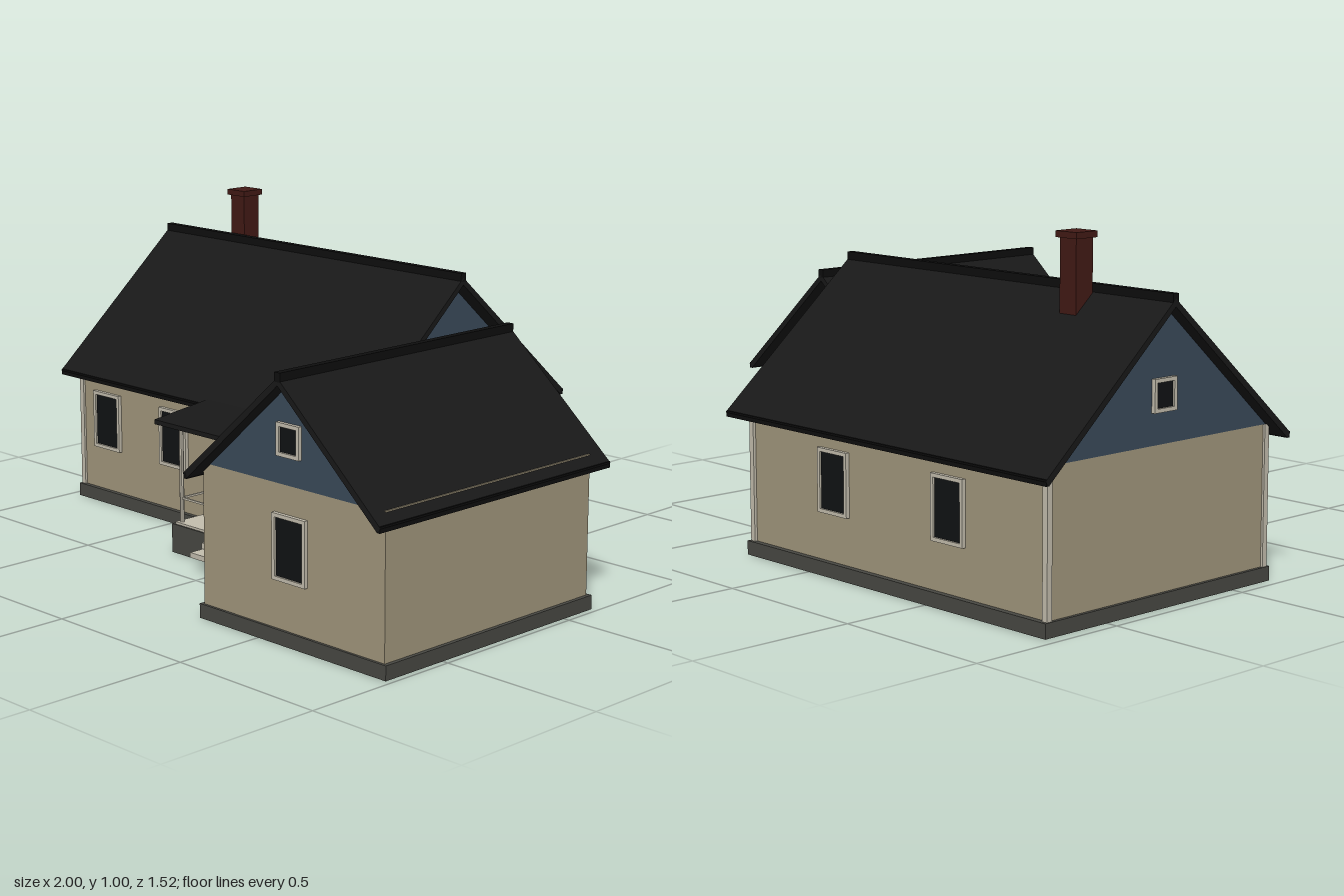
import * as THREE from 'three';

const mat = (color) => new THREE.MeshStandardMaterial({ color, flatShading: true });

export function createModel() {
  const house = new THREE.Group();
  const M = {
    wall: mat(0xa2977d), siding: mat(0x3a4a5a), roof: mat(0x181818), ridge: mat(0x0e0e0e),
    base: mat(0x484843), trim: mat(0xc4beae), glass: mat(0x101214), door: mat(0x2e1a14),
    brick: mat(0x421a15),
  };

  const add = (name, geometry, material, parent = house) => {
    const mesh = new THREE.Mesh(geometry, material);
    mesh.name = name;
    parent.add(mesh);
    return mesh;
  };

  // Box given by its lower and upper limits on each axis
  const box = (name, m, [x0, x1], [y0, y1], [z0, z1], parent) => {
    const mesh = add(name, new THREE.BoxGeometry(x1 - x0, y1 - y0, z1 - z0), m, parent);
    mesh.position.set((x0 + x1) / 2, (y0 + y1) / 2, (z0 + z1) / 2);
    return mesh;
  };

  // Outline in x,y pushed along z, starting at z = start
  const prism = (name, m, points, start, depth, parent) => {
    const shape = new THREE.Shape(points.map(([x, y]) => new THREE.Vector2(x, y)));
    const g = new THREE.ExtrudeGeometry(shape, { depth, bevelEnabled: false });
    return add(name, g.translate(0, 0, start), m, parent);
  };

  // Pitched roof along local z, centred on x = 0
  const gableRoof = (name, half, eave, ridge, start, length) => {
    const group = new THREE.Group();
    group.name = name;
    house.add(group);
    prism(name + 'Slopes', M.roof, [
      [-half, eave], [-half + 0.012, eave - 0.014], [0, ridge - 0.022],
      [half - 0.012, eave - 0.014], [half, eave], [0, ridge],
    ], start, length, group);
    box(name + 'RidgeCap', M.ridge, [-0.011, 0.011], [ridge - 0.012, ridge + 0.014],
      [start, start + length], group);
    for (const s of [-1, 1]) {
      box(name + 'EaveBoard', M.ridge, [s * (half - 0.008) - 0.006, s * (half - 0.008) + 0.006],
        [eave - 0.014, eave + 0.004], [start, start + length], group);
    }
    return group;
  };

  // Triangular gable panel in the local x,y plane
  const gable = (parent, half, ridge, z) =>
    prism('gableSiding', M.siding, [[-half, 0.45], [half, 0.45], [0, ridge - 0.02]], z, 0.01, parent);

  // Framed window facing +z of its group
  const windowUnit = (name, w, h, x, y, z, turn = 0) => {
    const g = new THREE.Group();
    g.name = name;
    const t = 0.011;
    box('glass', M.glass, [-w / 2, w / 2], [-h / 2, h / 2], [-0.01, 0.006], g);
    for (const s of [-1, 1]) {
      const fx = s * (w + t) / 2, fy = s * (h + t) / 2;
      box('sideFrame', M.trim, [fx - t / 2, fx + t / 2], [-h / 2 - t, h / 2 + t], [-0.01, 0.012], g);
      box('crossFrame', M.trim, [-w / 2, w / 2], [fy - t / 2, fy + t / 2], [-0.01, 0.012], g);
    }
    g.position.set(x, y, z);
    g.rotation.y = turn;
    house.add(g);
  };

  // Foundations and walls
  box('mainFoundation', M.base, [-0.965, 0.285], [0, 0.042], [-0.728, 0.155]);
  box('wingFoundation', M.base, [0.262, 0.982], [0, 0.042], [-0.12, 0.718]);
  box('mainWalls', M.wall, [-0.955, 0.275], [0.042, 0.45], [-0.71, 0.14]);
  box('wingWalls', M.wall, [0.274, 0.97], [0.042, 0.453], [-0.11, 0.71]);

  // Corner boards on the main block
  for (const [x, z] of [[-0.953, 0.138], [-0.953, -0.71], [0.27, -0.71]]) {
    box('cornerBoard', M.trim, [x - 0.009, x + 0.009], [0.042, 0.45], [z - 0.009, z + 0.009]);
  }

  // Main roof: ridge runs along x, with a siding gable at each end
  const mainRoof = gableRoof('mainRoof', 0.478, 0.425, 0.845, -1, 1.333);
  gable(mainRoof, 0.425, 0.845, -0.957);
  gable(mainRoof, 0.425, 0.845, 0.267);
  mainRoof.rotation.y = Math.PI / 2;
  mainRoof.position.z = -0.285;

  // Wing roof: ridge runs along z, closed at the front and open at the rear
  const wingRoof = gableRoof('wingRoof', 0.377, 0.423, 0.753, -0.165, 0.925);
  gable(wingRoof, 0.345, 0.753, 0.702);
  wingRoof.position.x = 0.623;

  // Windows
  for (const x of [-0.825, -0.5]) windowUnit('frontWindow', 0.105, 0.165, x, 0.275, 0.14);
  for (const x of [-0.1, -0.58]) windowUnit('backWindow', 0.105, 0.165, x, 0.275, -0.71, Math.PI);
  windowUnit('wingWindow', 0.105, 0.165, 0.622, 0.275, 0.71);
  windowUnit('wingGableWindow', 0.065, 0.07, 0.622, 0.575, 0.712);
  windowUnit('mainGableWindow', 0.065, 0.07, -0.957, 0.585, -0.285, -Math.PI / 2);

  // Double door
  box('doorFrame', M.trim, [-0.066, 0.076], [0.09, 0.335], [0.13, 0.148]);
  for (const x of [-0.026, 0.036]) {
    box('doorLeaf', M.door, [x - 0.03, x + 0.03], [0.09, 0.323], [0.135, 0.154]);
  }

  // Porch: base, deck, steps, posts, rails and lean-to roof
  box('porchBase', M.base, [-0.265, 0.27], [0, 0.09], [0.14, 0.36]);
  box('porchDeck', M.trim, [-0.255, 0.27], [0.09, 0.097], [0.14, 0.355]);
  box('upperStep', M.trim, [-0.075, 0.088], [0.062, 0.08], [0.355, 0.41]);
  box('lowerStep', M.trim, [-0.075, 0.088], [0.044, 0.06], [0.39, 0.455]);
  for (const x of [-0.24, 0.006, 0.255]) {
    const post = add('porchPost', new THREE.CylinderGeometry(0.007, 0.007, 0.315, 8), M.trim);
    post.position.set(x, 0.25, 0.34);
  }
  box('frontRail', M.trim, [-0.24, 0.255], [0.169, 0.175], [0.337, 0.343]);
  box('sideRail', M.trim, [-0.243, -0.237], [0.169, 0.175], [0.14, 0.34]);
  const porchRoof = prism('porchRoof', M.roof,
    [[-0.39, 0.4], [-0.39, 0.414], [-0.14, 0.445], [-0.14, 0.431]], -0.305, 0.585);
  porchRoof.rotation.y = Math.PI / 2;

  // Chimney
  box('chimneyShaft', M.brick, [-0.706, -0.644], [0.7, 0.99], [-0.362, -0.298]);
  box('chimneyCap', M.brick, [-0.715, -0.635], [0.985, 1.003], [-0.37, -0.29]);

  return house;
}
